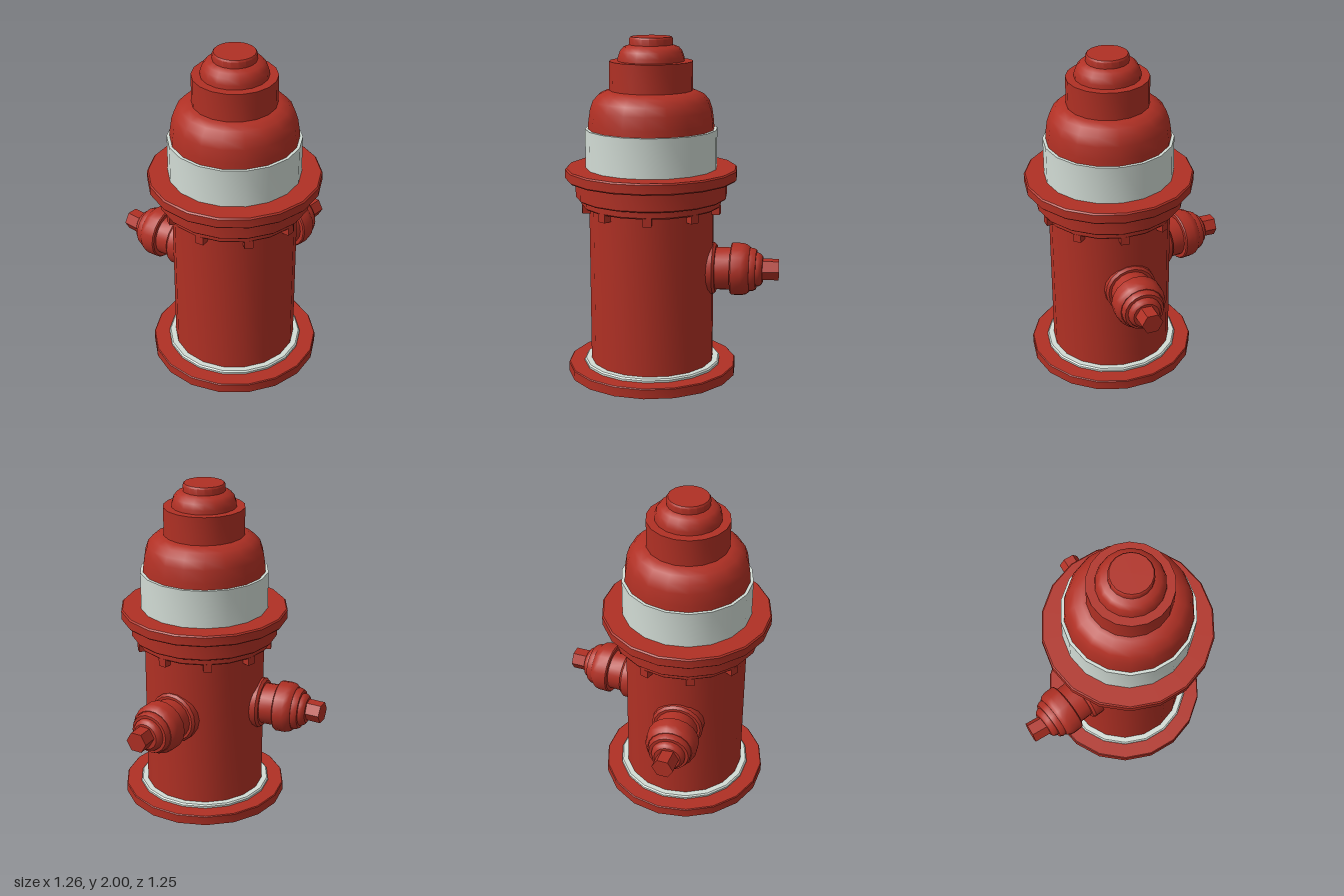
import * as THREE from 'three';
import { toCreasedNormals } from 'three/addons/utils/BufferGeometryUtils.js';

const CENTER = 0.123; // barrel axis in x and z
const SIDES = 18;

const red = new THREE.MeshStandardMaterial({ color: 0xb03024 });
red.name = 'red paint';
const white = new THREE.MeshStandardMaterial({ color: 0xd2dcd5 });
white.name = 'pale band';

// Closed solid of revolution from [radius, height] pairs, bottom to top
function turned(name, profile, material, sides = SIDES) {
  const pts = profile.map(([r, y]) => new THREE.Vector2(r, y));
  pts.unshift(new THREE.Vector2(0, profile[0][1]));
  pts.push(new THREE.Vector2(0, profile[profile.length - 1][1]));
  const mesh = new THREE.Mesh(toCreasedNormals(new THREE.LatheGeometry(pts, sides), 0.62), material);
  mesh.name = name;
  return mesh;
}

// Side outlet pointing along local -x, swung by yaw; the nut stays square to the axes
function outlet(name, x, z, yaw, tilt) {
  const group = new THREE.Group();
  group.name = name;
  const parts = [
    ['outletFlange', [[0.14, -0.2], [0.155, -0.185], [0.155, -0.115], [0.142, -0.1]]],
    ['outletNeck', [[0.126, -0.12], [0.126, 0.01]]],
    ['outletCollar', [[0.148, -0.012], [0.155, -0.005], [0.155, 0.055], [0.148, 0.082], [0.132, 0.1]]],
    ['outletRing', [[0.128, 0.09], [0.128, 0.118], [0.118, 0.138]]],
    ['outletCap', [[0.1, 0.12], [0.1, 0.15], [0.093, 0.165], [0.078, 0.176]]],
  ];
  for (const [partName, profile] of parts) {
    const part = turned(partName, profile, red);
    part.rotation.z = Math.PI / 2;
    group.add(part);
  }
  const nutGeometry = new THREE.CylinderGeometry(0.065, 0.065, 0.13, 6).toNonIndexed();
  nutGeometry.computeVertexNormals();
  nutGeometry.rotateZ(Math.PI / 2);
  const nut = new THREE.Mesh(nutGeometry, red);
  nut.name = 'outletNut';
  nut.position.set(-0.205, 0.004, 0);
  nut.rotation.y = -tilt;
  group.add(nut);
  group.position.set(x, 0.64, z);
  group.rotation.y = yaw + tilt;
  return group;
}

export function createModel() {
  const model = new THREE.Group();
  model.name = 'fireHydrant';

  // Everything stacked on the vertical axis
  const column = new THREE.Group();
  column.name = 'column';
  column.position.set(CENTER, 0, CENTER);
  column.rotation.y = Math.PI / SIDES;
  column.add(
    turned('baseFlange', [[0.503, 0], [0.503, 0.055], [0.498, 0.06]], red),
    turned('baseRing', [[0.408, 0.055], [0.408, 0.072], [0.4, 0.08]], white),
    turned('barrel', [[0.367, 0.07], [0.367, 1.03]], red),
    turned('lowerCollar', [[0.405, 1.022], [0.412, 1.03], [0.412, 1.075]], red),
    turned('middleCollar', [[0.438, 1.068], [0.445, 1.075], [0.445, 1.19]], red),
    turned('upperFlange', [[0.497, 1.178], [0.505, 1.186], [0.505, 1.237], [0.497, 1.245]], red),
    turned('band', [[0.385, 1.24], [0.385, 1.473]], white),
    turned('dome', [[0.368, 1.46], [0.366, 1.51], [0.355, 1.585], [0.338, 1.635], [0.305, 1.672],
      [0.265, 1.69], [0.235, 1.697]], red),
    turned('capCylinder', [[0.242, 1.68], [0.242, 1.862]], red),
    turned('capDome', [[0.193, 1.855], [0.191, 1.885], [0.18, 1.918], [0.16, 1.942], [0.12, 1.956]], red),
    turned('capKnob', [[0.125, 1.945], [0.125, 1.99], [0.118, 2]], red),
  );
  model.add(column);

  // Nine bolts hanging under the lower collar
  const boltGeometry = new THREE.BoxGeometry(0.05, 0.05, 0.05);
  for (let i = 0; i < 9; i++) {
    const angle = THREE.MathUtils.degToRad(12 + i * 40);
    const bolt = new THREE.Mesh(boltGeometry, red);
    bolt.name = 'bolt';
    bolt.position.set(CENTER + 0.385 * Math.sin(angle), 1.005, CENTER + 0.385 * Math.cos(angle));
    bolt.rotation.y = angle;
    model.add(bolt);
  }

  // Outlets on the right side and the back
  model.add(
    outlet('rightOutlet', -0.36, 0.212, 0, 0.13),
    outlet('backOutlet', 0.138, -0.36, -Math.PI / 2, -0.06),
  );
  return model;
}
